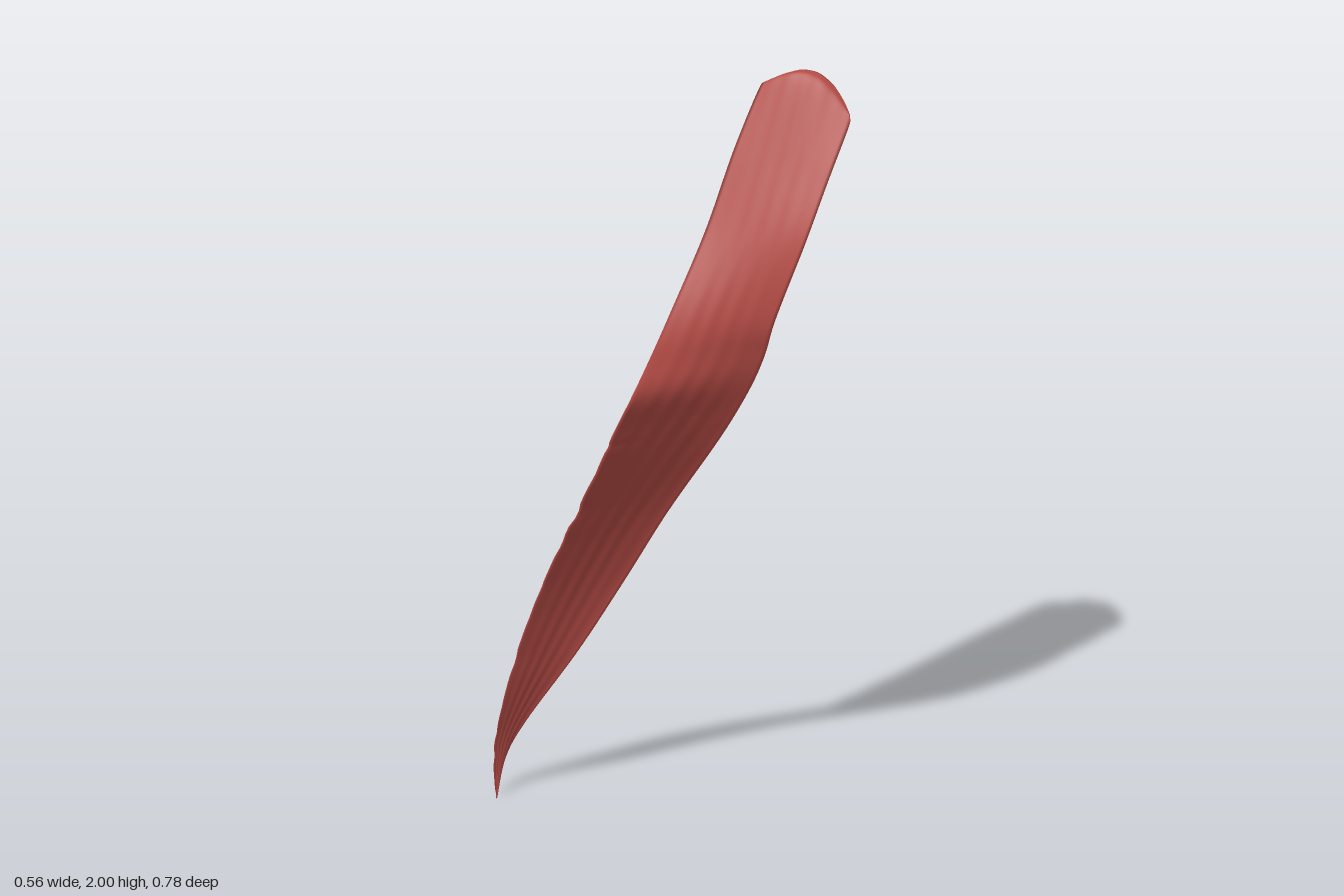
import * as THREE from 'three';

// Cross-sections from foot to tip:
// left edge x y z, right edge x y z, bulge of the back face, bulge of the front face, rise of the middle
const SECTIONS = [
  [-0.275, 0.00, -0.366, -0.265, 0.00, -0.370, 0.000, 0.000, 0],
  [-0.280, 0.10, -0.370, -0.226, 0.10, -0.374, 0.014, -0.002, 0],
  [-0.280, 0.20, -0.358, -0.190, 0.20, -0.335, 0.034, 0.004, 0],
  [-0.278, 0.40, -0.300, -0.117, 0.40, -0.220, 0.052, 0.008, 0],
  [-0.272, 0.60, -0.222, -0.051, 0.60, -0.118, 0.060, 0.010, 0],
  [-0.270, 0.80, -0.124, -0.010, 0.80, -0.008, 0.063, 0.012, 0],
  [-0.275, 1.00, -0.014, 0.022, 1.00, 0.122, 0.066, 0.012, 0],
  [-0.276, 1.10, 0.036, 0.032, 1.10, 0.185, 0.070, 0.012, 0],
  [-0.268, 1.20, 0.086, 0.036, 1.20, 0.243, 0.072, 0.012, 0],
  [-0.208, 1.29, 0.096, 0.037, 1.29, 0.285, 0.070, 0.010, 0],
  [-0.138, 1.40, 0.106, 0.034, 1.40, 0.325, 0.063, 0.008, 0],
  [-0.012, 1.60, 0.120, 0.084, 1.60, 0.380, 0.048, 0.004, 0],
  [0.088, 1.80, 0.132, 0.166, 1.75, 0.387, 0.044, 0.005, 0.01],
  [0.174, 1.95, 0.145, 0.248, 1.88, 0.388, 0.048, 0.018, 0.055],
  [0.192, 1.96, 0.150, 0.256, 1.90, 0.385, 0.046, 0.040, 0.07],
];
const ROWS = 120, COLS = 28;

// Smooth interpolation of one column of the section table
function sample(column, u) {
  const f = u * (SECTIONS.length - 1);
  const i = Math.min(Math.floor(f), SECTIONS.length - 2);
  const t = f - i;
  const v = (k) => SECTIONS[Math.max(0, Math.min(SECTIONS.length - 1, k))][column];
  const [a, b, c, d] = [v(i - 1), v(i), v(i + 1), v(i + 2)];
  return b + 0.5 * t * (c - a + t * (2 * a - 5 * b + 4 * c - d + t * (3 * (b - c) + d - a)));
}

// Closed, curved strip made of rings, thin at the left edge and fuller toward the right
function stripGeometry() {
  const positions = [], index = [], ring = COLS * 2;
  for (let r = 0; r <= ROWS; r++) {
    const u = r / ROWS;
    const [lx, ly, lz, rx, ry, rz, backBulge, frontBulge, rise] = SECTIONS[0].map((_, k) => sample(k, u));
    const dx = rx - lx, dz = rz - lz, width = Math.hypot(dx, dz);
    const nx = dz / width, nz = -dx / width;
    // Ragged left edge on the lower half
    const ragged = u < 0.5
      ? 0.003 * (Math.sin(u * 97) + Math.sin(u * 151 + 1)) + 0.018 * Math.exp(-(((u - 0.37) / 0.008) ** 2))
      : 0;
    for (let k = 0; k < ring; k++) {
      const back = k < COLS;
      const t = back ? k / COLS : (ring - k) / COLS;
      const arch = Math.pow(Math.abs(Math.sin(Math.PI * Math.pow(t, 1.5))), 0.65);
      // Lengthwise grain
      const grain = 0.001 * Math.sin(Math.PI * t) * Math.sin(t * 34 + 3 * Math.sin(u * 7));
      const off = (back ? backBulge : frontBulge) * arch + grain;
      positions.push(
        lx + dx * t + nx * off + Math.max(0, ragged) * (1 - t) ** 4,
        ly + (ry - ly) * t + rise * Math.sin(Math.PI * t),
        lz + dz * t + nz * off,
      );
      if (r < ROWS) {
        const a = r * ring + k, b = r * ring + (k + 1) % ring;
        index.push(a, a + ring, b, b, a + ring, b + ring);
      }
    }
  }
  const geometry = new THREE.BufferGeometry();
  geometry.setAttribute('position', new THREE.Float32BufferAttribute(positions, 3));
  geometry.setIndex(index);
  geometry.computeVertexNormals();
  return geometry;
}

export function createModel() {
  const group = new THREE.Group();
  group.name = 'curvedStrip';
  const red = new THREE.MeshStandardMaterial({ color: 0xb24a44, side: THREE.DoubleSide });
  red.name = 'muted red';
  const strip = new THREE.Mesh(stripGeometry(), red);
  strip.name = 'twistedStrip';
  group.add(strip);
  return group;
}
